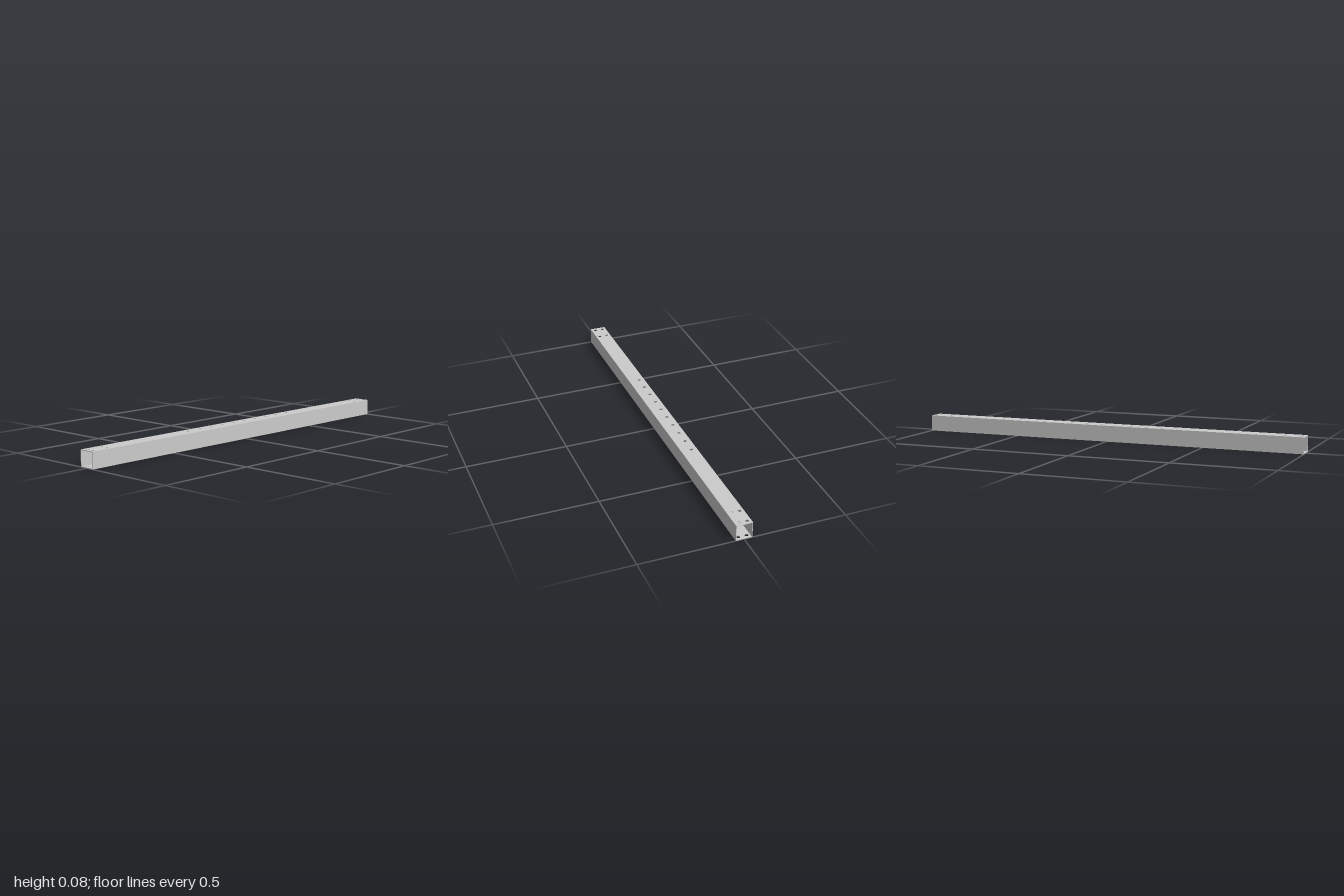
import * as THREE from 'three';

const SIZE = 0.08, WALL = 0.003, LENGTH = 2, HOLE_RADIUS = 0.0085;

// Hole centres as [x, z]: four at each end, and an off-centre row in the middle
function holeCentres() {
  const centres = [];
  for (const x of [-0.02, 0.02]) {
    for (const z of [-0.98, -0.9, 0.9, 0.98]) centres.push([x, z]);
  }
  for (let i = 0; i < 10; i++) centres.push([-0.012, -0.36 + i * 0.08]);
  return centres;
}

// Flat drilled plate whose upper face lies at y = 0
function drilledPlate() {
  const w = SIZE / 2, l = LENGTH / 2;
  const shape = new THREE.Shape();
  shape.moveTo(-w, -l).lineTo(w, -l).lineTo(w, l).lineTo(-w, l).closePath();
  for (const [x, z] of holeCentres()) {
    shape.holes.push(new THREE.Path().absarc(x, z, HOLE_RADIUS, 0, Math.PI * 2, true));
  }
  return new THREE.ExtrudeGeometry(shape, { depth: WALL, bevelEnabled: false, curveSegments: 24 })
    .rotateX(Math.PI / 2);
}

export function createModel() {
  const model = new THREE.Group();
  model.name = 'squareTube';
  const material = new THREE.MeshStandardMaterial({ color: 0xcccccc });

  const add = (name, geometry, x, y) => {
    const mesh = new THREE.Mesh(geometry, material);
    mesh.name = name;
    mesh.position.set(x, y, 0);
    model.add(mesh);
  };

  // Drilled top and bottom walls
  const plate = drilledPlate();
  add('topWall', plate, 0, SIZE);
  add('bottomWall', plate, 0, WALL);

  // Plain side walls between them
  const side = new THREE.BoxGeometry(WALL, SIZE - 2 * WALL, LENGTH);
  add('leftWall', side, (SIZE - WALL) / 2, SIZE / 2);
  add('rightWall', side, -(SIZE - WALL) / 2, SIZE / 2);

  return model;
}
